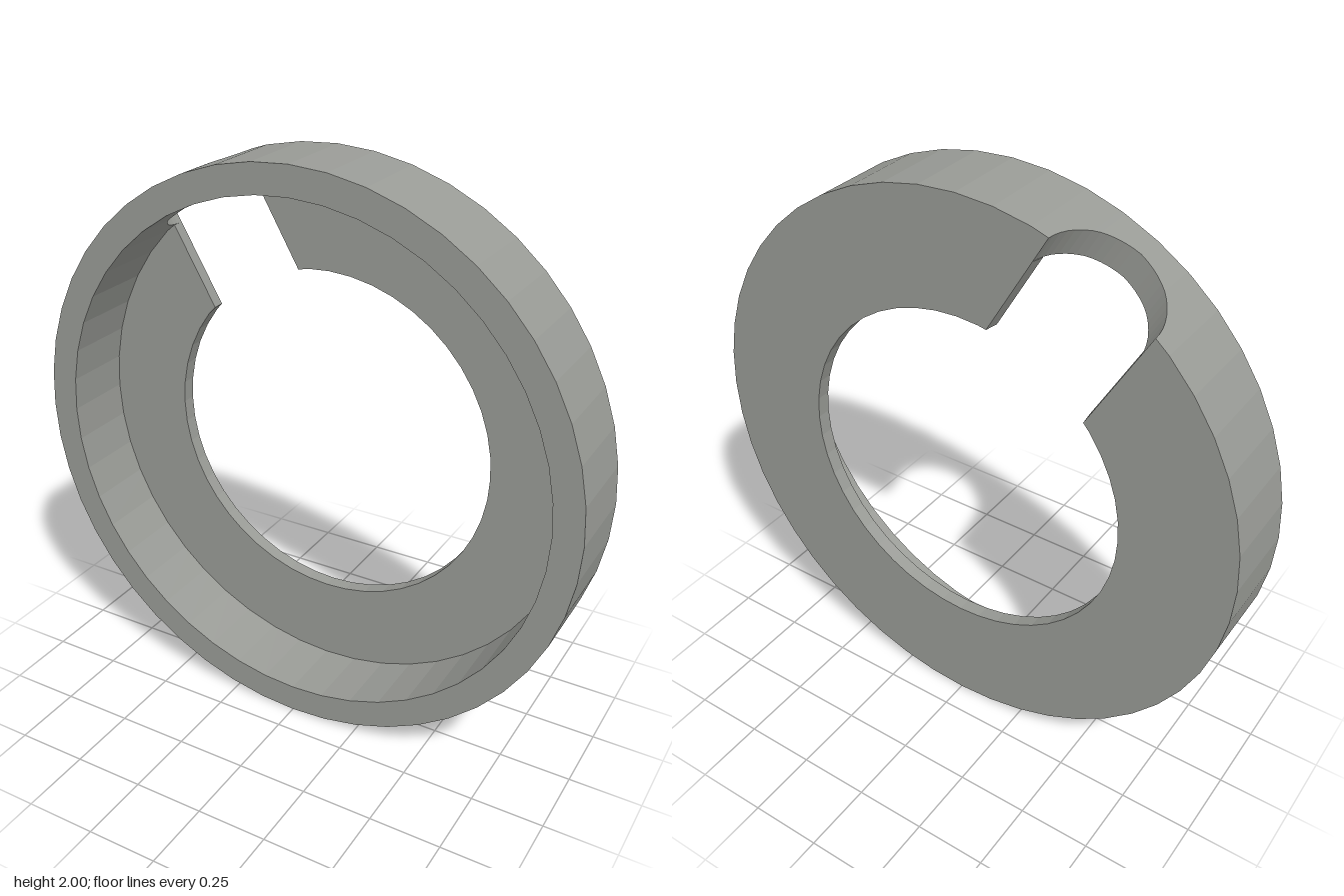
import * as THREE from 'three';

const SIDES = 48, STEP = (2 * Math.PI) / SIDES;
const OUTER = 1, INNER = 0.9, BORE = 0.6;
const BACK = -0.15, FRONT = 0.15, FLANGE = 0.05, NOTCH = 0.2;

// Corner k of a 48-sided ring, counted anticlockwise from the notch axis (+y)
const corner = (r, k) => new THREE.Vector2(-r * Math.sin(k * STEP), r * Math.cos(k * STEP));

// Point on the ring's facets near the top, at sideways offset u
function onRing(r, u) {
  const k = Math.floor(Math.asin(Math.abs(u) / r) / STEP);
  const a = corner(r, k), b = corner(r, k + 1);
  const t = (Math.abs(u) + a.x) / (a.x - b.x);
  return new THREE.Vector2(u, a.y + (b.y - a.y) * t);
}

// Rim: four-cornered cross-sections swept around, lifted at the back by the round notch
function rimGeometry() {
  const sections = [];
  const add = (o, i, back) => sections.push([
    [o.x, o.y, FRONT], [o.x, o.y, back], [i.x, i.y, back], [i.x, i.y, FRONT],
  ]);
  for (let k = 2; k <= SIDES - 2; k++) add(corner(OUTER, k), corner(INNER, k), BACK);
  for (let n = 0; n <= 24; n++) {
    const t = (n / 24) * Math.PI, u = NOTCH * Math.cos(t);
    add(onRing(OUTER, u), onRing(INNER, u), BACK + NOTCH * Math.sin(t));
  }
  const pos = [];
  sections.forEach((a, s) => {
    const b = sections[(s + 1) % sections.length];
    for (let j = 0; j < 4; j++) {
      const m = (j + 1) % 4;
      pos.push(...a[j], ...a[m], ...b[m], ...a[j], ...b[m], ...b[j]);
    }
  });
  const g = new THREE.BufferGeometry();
  g.setAttribute('position', new THREE.Float32BufferAttribute(pos, 3));
  g.computeVertexNormals();
  return g;
}

// Flange: thin C-shaped plate whose ends follow the notch curve
function flangeGeometry() {
  const pts = [onRing(INNER, -NOTCH)];
  for (let k = 2; k <= SIDES - 2; k++) pts.push(corner(INNER, k));
  pts.push(onRing(INNER, NOTCH), onRing(BORE, NOTCH));
  for (let k = SIDES - 3; k >= 3; k--) pts.push(corner(BORE, k));
  pts.push(onRing(BORE, -NOTCH));
  const g = new THREE.ExtrudeGeometry(new THREE.Shape(pts), { depth: FLANGE, bevelEnabled: false });
  const p = g.attributes.position;
  const frontHalf = Math.sqrt(NOTCH ** 2 - FLANGE ** 2);
  for (let i = 0; i < p.count; i++) {
    const atEnd = p.getY(i) > 0 && Math.abs(Math.abs(p.getX(i)) - NOTCH) < 1e-4;
    if (atEnd && p.getZ(i) > FLANGE / 2) p.setX(i, Math.sign(p.getX(i)) * frontHalf);
  }
  g.translate(0, 0, BACK);
  g.computeVertexNormals();
  return g;
}

export function createModel() {
  const grey = new THREE.MeshStandardMaterial({ color: 0x999b96, flatShading: true });
  grey.name = 'grey';

  const rim = new THREE.Mesh(rimGeometry(), grey);
  rim.name = 'rim';
  const flange = new THREE.Mesh(flangeGeometry(), grey);
  flange.name = 'backFlange';

  // Turn the notch to the upper right of the ring
  const ring = new THREE.Group();
  ring.name = 'notchedRing';
  ring.add(rim, flange);
  ring.rotation.z = Math.PI / 6;
  ring.position.y = 1;

  const model = new THREE.Group();
  model.name = 'model';
  model.add(ring);
  return model;
}
